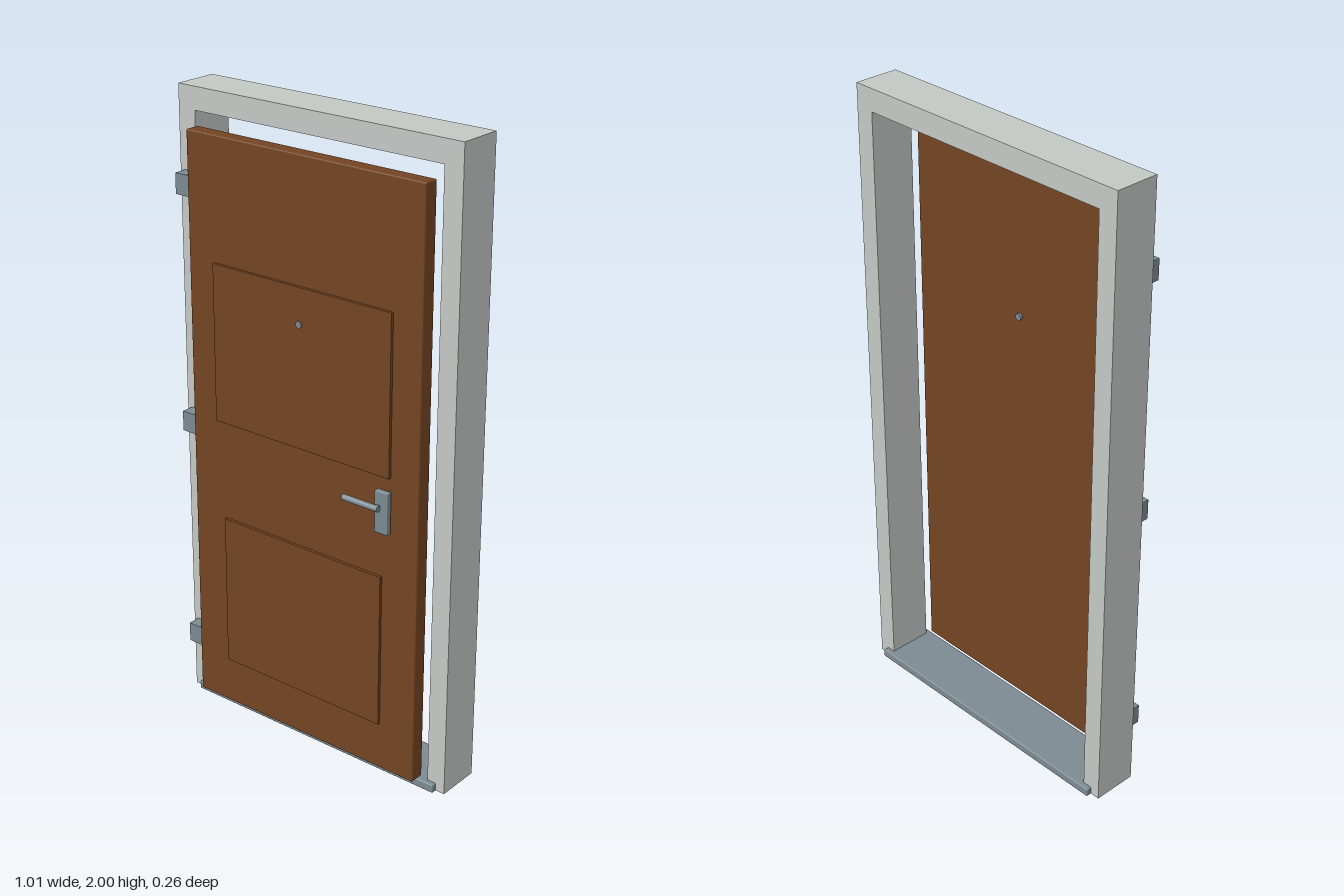
import * as THREE from 'three';
import { RoundedBoxGeometry } from 'three/addons/geometries/RoundedBoxGeometry.js';

const material = (name, color) => {
  const m = new THREE.MeshStandardMaterial({ color });
  m.name = name;
  return m;
};

export function createModel() {
  const model = new THREE.Group();
  model.name = 'entranceDoor';
  const framePaint = material('framePaint', 0xc4c8c5);
  const wood = material('brownWood', 0x734422);
  const metal = material('greyMetal', 0x7c8a92);

  const add = (name, geometry, mat, x, y, z) => {
    const mesh = new THREE.Mesh(geometry, mat);
    mesh.name = name;
    mesh.position.set(x, y, z);
    model.add(mesh);
    return mesh;
  };
  // Box given by its limits on each axis, with optional softened edges
  const box = (name, mat, [x0, x1], [y0, y1], [z0, z1], radius = 0) => {
    const size = [x1 - x0, y1 - y0, z1 - z0];
    const geometry = radius
      ? new RoundedBoxGeometry(...size, 2, radius)
      : new THREE.BoxGeometry(...size);
    return add(name, geometry, mat, (x0 + x1) / 2, (y0 + y1) / 2, (z0 + z1) / 2);
  };

  // Frame: two jambs and a head, extruded as one arch
  const W = 0.503, I = 0.441, H = 2, top = 1.93, foot = 0.002;
  const arch = new THREE.Shape([
    [-W, foot], [-I, foot], [-I, top], [I, top], [I, foot], [W, foot], [W, H], [-W, H],
  ].map(([x, y]) => new THREE.Vector2(x, y)));
  add('frame', new THREE.ExtrudeGeometry(arch, { depth: 0.143, bevelEnabled: false }),
    framePaint, 0, 0, -0.115);

  // Threshold
  box('threshold', metal, [-0.472, 0.472], [0, 0.027], [-0.1325, 0.045], 0.004);

  // Door leaf with two raised panels
  box('doorLeaf', wood, [-0.425, 0.425], [0.04, 1.89], [0.036, 0.084], 0.004);
  box('upperPanel', wood, [-0.326, 0.326], [1.015, 1.511], [0.08, 0.0935]);
  box('lowerPanel', wood, [-0.3, 0.3], [0.197, 0.694], [0.08, 0.0935]);

  // Peephole passing through the leaf
  const peephole = add('peephole', new THREE.CylinderGeometry(0.0105, 0.0105, 0.069, 24),
    metal, 0, 1.4, 0.0625);
  peephole.rotation.x = Math.PI / 2;

  // Handle: back plate, short neck and round lever
  box('handlePlate', metal, [0.289, 0.336], [0.846, 0.978], [0.0925, 0.111], 0.003);
  const neck = add('handleNeck', new THREE.CylinderGeometry(0.008, 0.008, 0.016, 16),
    metal, 0.303, 0.929, 0.115);
  neck.rotation.x = Math.PI / 2;
  const lever = add('handleLever', new THREE.CylinderGeometry(0.0095, 0.0095, 0.126, 24),
    metal, 0.25, 0.929, 0.123);
  lever.rotation.z = Math.PI / 2;

  // Hinges: a block on the frame and a knuckle beside the leaf
  for (const y of [0.218, 0.962, 1.715]) {
    box('hingeBlock', metal, [-0.487, -0.434], [y - 0.032, y + 0.032], [0.026, 0.069]);
    add('hingeKnuckle', new THREE.CylinderGeometry(0.013, 0.013, 0.068, 16),
      metal, -0.432, y, 0.058);
  }

  return model;
}
